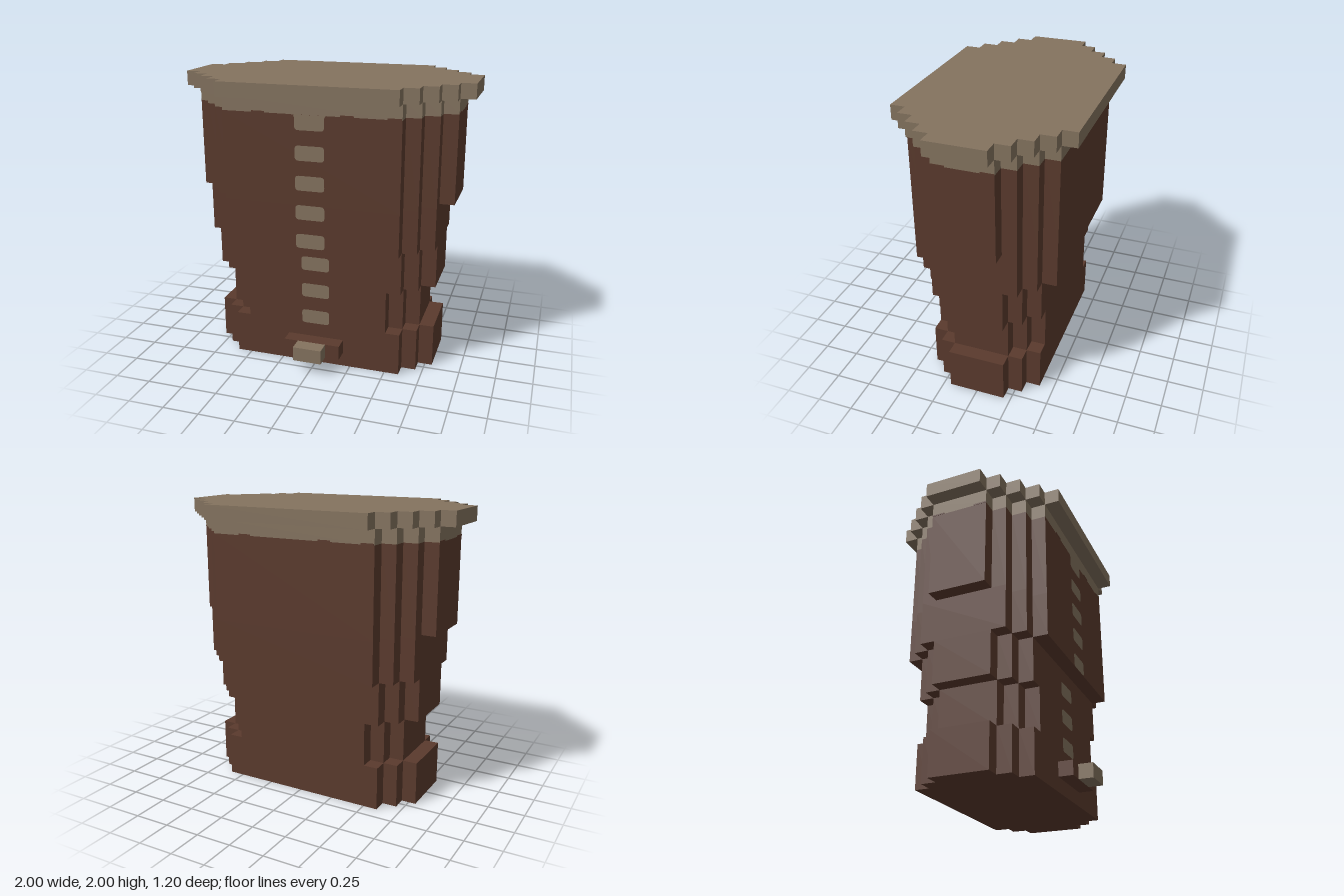
import * as THREE from 'three';

export function createModel() {
  const model = new THREE.Group();
  model.name = 'steppedBag';

  const brown = new THREE.MeshStandardMaterial({ color: 0x5a3a2d });
  brown.name = 'brown leather';
  const tan = new THREE.MeshStandardMaterial({ color: 0x84735f });
  tan.name = 'tan trim';

  const add = (name, geometry, material, x = 0, y = 0, z = 0) => {
    const mesh = new THREE.Mesh(geometry, material);
    mesh.name = name;
    mesh.position.set(x, y, z);
    model.add(mesh);
    return mesh;
  };

  // A slab with stepped corners; rows are [half width, half depth], widest first
  const slab = (name, y0, y1, rows, material) => {
    const corner = [];
    rows.forEach(([x, z], i) => {
      corner.push([x, z]);
      if (i < rows.length - 1) corner.push([rows[i + 1][0], z]);
    });
    const back = [...corner].reverse();
    const outline = [
      ...corner,
      ...back.map(([x, z]) => [-x, z]),
      ...corner.map(([x, z]) => [-x, -z]),
      ...back.map(([x, z]) => [x, -z]),
    ].map(([x, z]) => new THREE.Vector2(x, z));
    const geometry = new THREE.ExtrudeGeometry(new THREE.Shape(outline), { depth: y1 - y0, bevelEnabled: false });
    geometry.rotateX(-Math.PI / 2);
    add(name, geometry, material, 0, y0, 0);
  };

  const lower = [[0.8, 0.2], [0.7, 0.3], [0.6, 0.4]];
  const notch = [[0.7, 0.2], [0.6, 0.3], [0.5, 0.4]];
  const upper = [[0.9, 0.2], [0.8, 0.3], [0.7, 0.4], [0.6, 0.5]];
  const lid = [[1, 0.2], [0.9, 0.3], [0.8, 0.4], [0.7, 0.5], [0.6, 0.6]];

  // Body, from the ground up
  slab('base', 0, 0.3, lower, brown);
  // The notch only cuts the ends: the middle keeps the full depth
  slab('sideNotch', 0.3, 0.6, notch, brown);
  slab('lowerBody', 0.6, 0.9, lower, brown);
  slab('waist', 0.9, 1.2, upper.slice(1), brown);
  slab('upperBody', 1.2, 1.8, upper, brown);
  slab('rimBand', 1.8, 1.9, upper, tan);
  slab('lid', 1.9, 2, lid, tan);

  // Slight waves in the lower edge of the rim band
  for (const side of [1, -1]) {
    for (const x of [-0.35, 0.25, 0.55]) {
      add('rimWave', new THREE.BoxGeometry(0.09, 0.01, 0.004), brown, x * side, 1.805, 0.5 * side);
    }
    for (const z of [-0.155, 0.155]) {
      add('rimWave', new THREE.BoxGeometry(0.004, 0.01, 0.09), brown, 0.9 * side, 1.805, z);
    }
  }

  // Rounded zip teeth painted down the front
  const r = 0.025;
  const tooth = new THREE.Shape();
  tooth.moveTo(-0.1 + r, 0);
  tooth.lineTo(0.1 - r, 0);
  tooth.quadraticCurveTo(0.1, 0, 0.1, r);
  tooth.lineTo(0.1, 0.1 - r);
  tooth.quadraticCurveTo(0.1, 0.1, 0.1 - r, 0.1);
  tooth.lineTo(-0.1 + r, 0.1);
  tooth.quadraticCurveTo(-0.1, 0.1, -0.1, 0.1 - r);
  tooth.lineTo(-0.1, r);
  tooth.quadraticCurveTo(-0.1, 0, -0.1 + r, 0);
  const toothGeometry = new THREE.ShapeGeometry(tooth, 5);
  for (let i = 0; i < 7; i++) {
    const y = 0.3 + i * 0.2;
    add('zipTooth', toothGeometry, tan, 0, y, (y > 0.85 ? 0.5 : 0.4) + 0.002);
  }

  // Top tooth, flaring into the rim band
  const top = new THREE.Shape();
  top.moveTo(-0.1 + r, 0);
  top.lineTo(0.1 - r, 0);
  top.quadraticCurveTo(0.1, 0, 0.1, r);
  top.lineTo(0.1, 0.1 - r);
  top.quadraticCurveTo(0.1, 0.1, 0.1 + r, 0.1);
  top.lineTo(-0.1 - r, 0.1);
  top.quadraticCurveTo(-0.1, 0.1, -0.1, 0.1 - r);
  top.lineTo(-0.1, r);
  top.quadraticCurveTo(-0.1, 0, -0.1 + r, 0);
  add('topZipTooth', new THREE.ShapeGeometry(top, 5), tan, 0, 1.7, 0.502);

  // Zip pull at the foot of the front
  add('pullBase', new THREE.BoxGeometry(0.4, 0.1, 0.1), brown, 0, 0.15, 0.45);
  add('pullTab', new THREE.BoxGeometry(0.2, 0.1, 0.1), tan, 0, 0.15, 0.55);

  return model;
}
